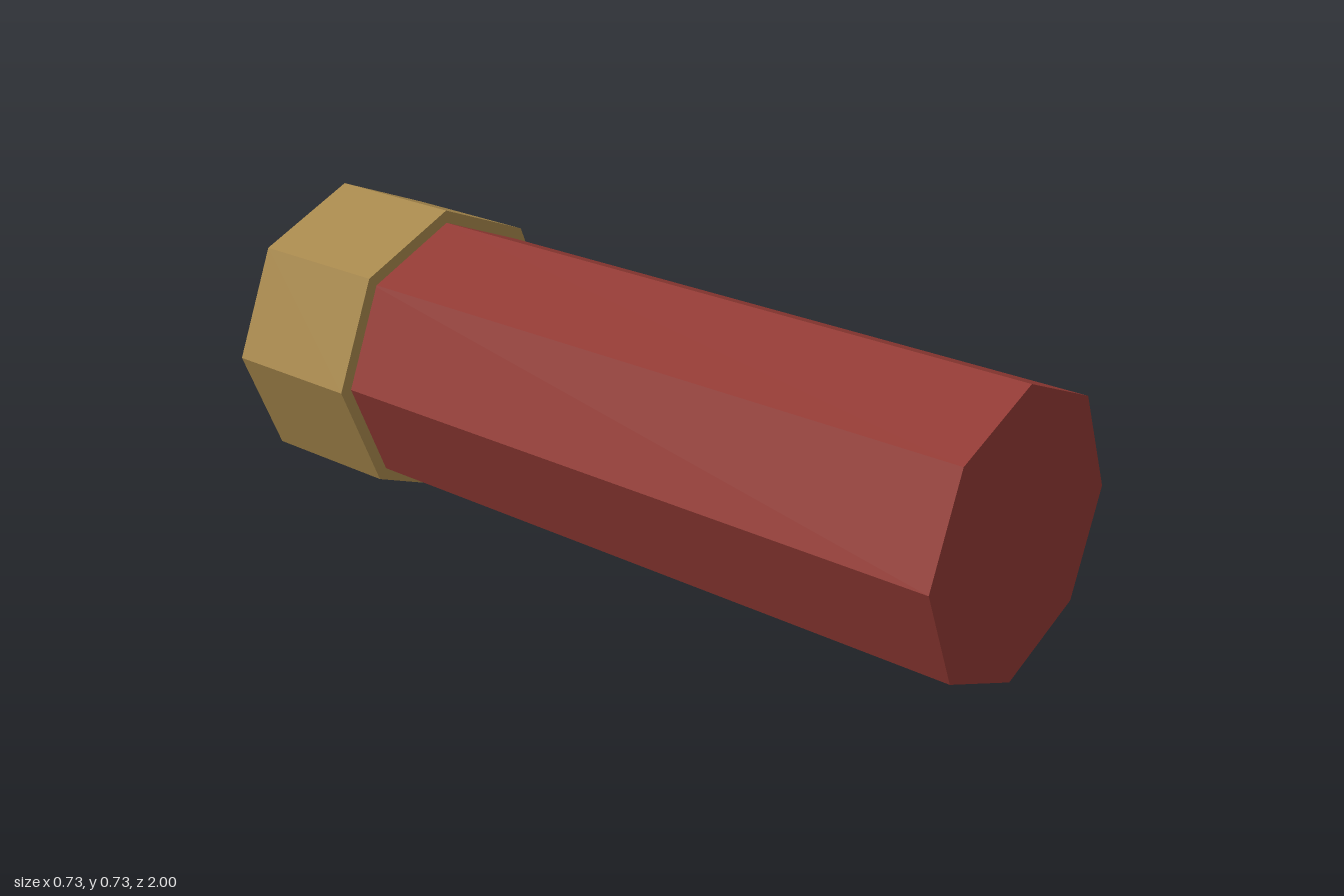
import * as THREE from 'three';

const SIDES = 8;
const AXIS_Y = 0.367;

// Octagonal prism lying along z, between two z positions
function prism(name, radius, zBack, zFront, material) {
  const length = zFront - zBack;
  const geometry = new THREE.CylinderGeometry(radius, radius, length, SIDES).toNonIndexed();
  geometry.rotateX(Math.PI / 2);
  geometry.computeVertexNormals();
  const mesh = new THREE.Mesh(geometry, material);
  mesh.name = name;
  mesh.position.set(0, AXIS_Y, (zBack + zFront) / 2);
  return mesh;
}

export function createModel() {
  const red = new THREE.MeshStandardMaterial({ color: 0x903933, flatShading: true });
  red.name = 'red plastic';
  const brass = new THREE.MeshStandardMaterial({ color: 0xa6874c, flatShading: true });
  brass.name = 'brass';

  const model = new THREE.Group();
  model.name = 'cartridge';
  // Long tube, starting inside the cap
  model.add(prism('tube', 0.336, -0.66, 1, red));
  // Wider cap at the back
  model.add(prism('baseCap', 0.367, -1, -0.635, brass));
  return model;
}
